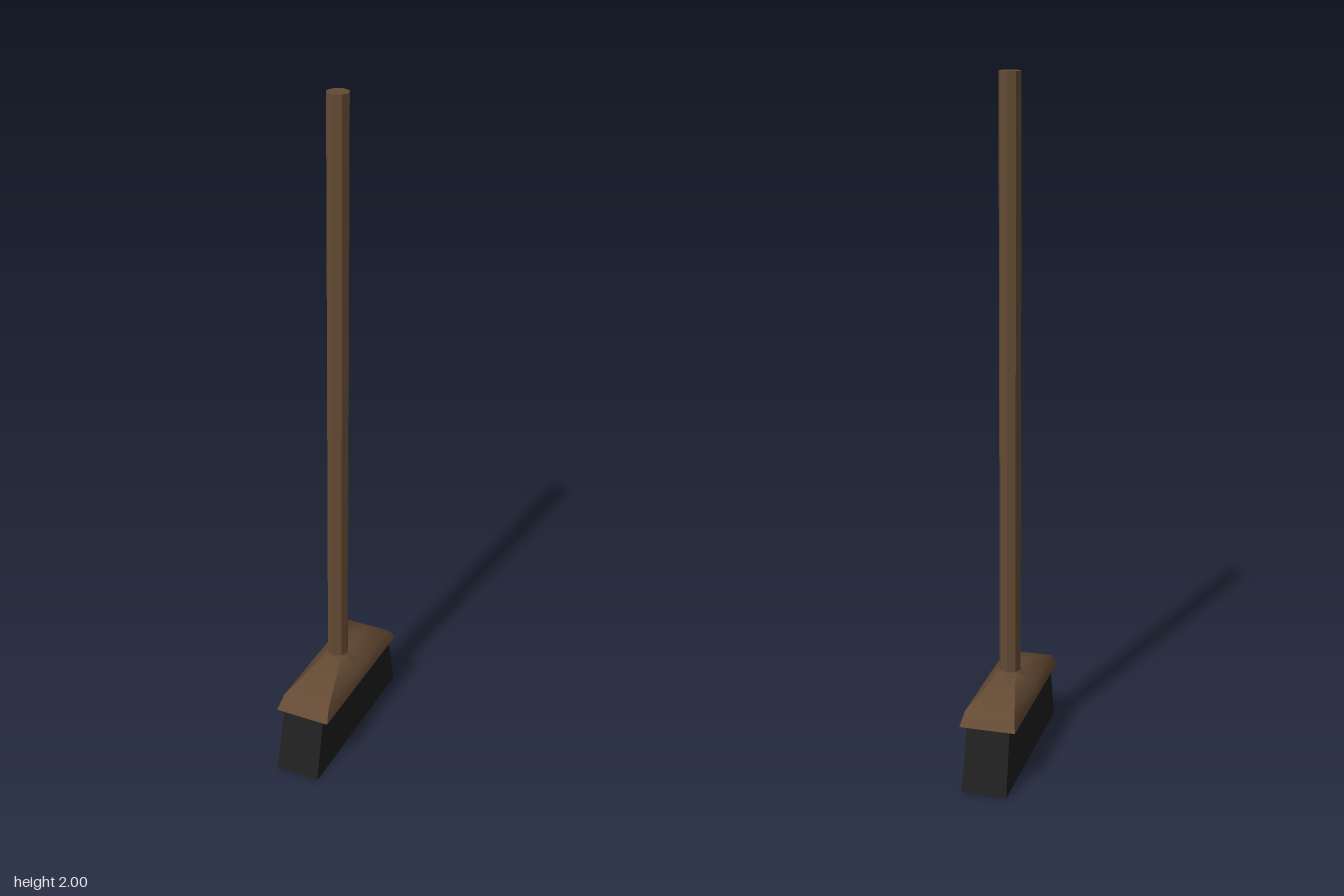
import * as THREE from 'three';
import { toCreasedNormals } from 'three/addons/utils/BufferGeometryUtils.js';

const wood = new THREE.MeshStandardMaterial({ color: 0x644a34 });
const handleWood = new THREE.MeshStandardMaterial({ color: 0x644a34, flatShading: true });
const bristle = new THREE.MeshStandardMaterial({ color: 0x202020, flatShading: true });

const SIDES = 8;
const HANDLE_RADIUS = 0.032;

// Eight points around a rectangle: corners and edge middles
function rectRing(x, y, z) {
  return Array.from({ length: SIDES }, (_, i) => {
    const a = (i / SIDES) * Math.PI * 2;
    return [x * Math.sign(Math.round(Math.cos(a) * 10)), y, z * Math.sign(Math.round(Math.sin(a) * 10))];
  });
}

function roundRing(radius, y) {
  return Array.from({ length: SIDES }, (_, i) => {
    const a = (i / SIDES) * Math.PI * 2;
    return [radius * Math.cos(a), y, radius * Math.sin(a)];
  });
}

// Closed skin over rings listed from bottom to top
function loft(rings) {
  const pos = [];
  const tri = (...points) => points.forEach((p) => pos.push(...p));
  const low = rings[0], high = rings[rings.length - 1];
  for (let i = 0; i < SIDES; i++) {
    const j = (i + 1) % SIDES;
    for (let r = 0; r < rings.length - 1; r++) {
      const a = rings[r], b = rings[r + 1];
      // mirror the diagonals so both halves of each side match
      if (i % 2) {
        tri(a[i], b[i], a[j]);
        tri(a[j], b[i], b[j]);
      } else {
        tri(a[i], b[i], b[j]);
        tri(a[i], b[j], a[j]);
      }
    }
    tri([0, low[0][1], 0], low[i], low[j]);
    tri([0, high[0][1], 0], high[j], high[i]);
  }
  const geo = new THREE.BufferGeometry();
  geo.setAttribute('position', new THREE.Float32BufferAttribute(pos, 3));
  return toCreasedNormals(geo, 0.72);
}

export function createModel() {
  const group = new THREE.Group();
  const add = (name, geo, mat) => {
    const mesh = new THREE.Mesh(geo, mat);
    mesh.name = name;
    group.add(mesh);
    return mesh;
  };

  // Long octagonal handle
  const handle = add('handle', new THREE.CylinderGeometry(HANDLE_RADIUS, HANDLE_RADIUS, 1.73, SIDES), handleWood);
  handle.position.y = 0.27 + 1.73 / 2;

  // Wooden head: sloped lip, then a shallow roof rising to the handle
  add('head', loft([
    rectRing(0.082, 0.187, 0.246),
    rectRing(0.073, 0.226, 0.216),
    roundRing(HANDLE_RADIUS, 0.27),
  ]), wood);

  // Bristle block flaring towards the floor
  const block = new THREE.BoxGeometry(0.132, 0.187, 0.56);
  block.translate(0, 0.187 / 2, 0);
  const p = block.attributes.position;
  for (let i = 0; i < p.count; i++) {
    if (p.getY(i) > 0.1) p.setXYZ(i, p.getX(i) * 0.96, p.getY(i), p.getZ(i) * 0.84);
  }
  block.computeVertexNormals();
  add('bristles', block, bristle);

  return group;
}
